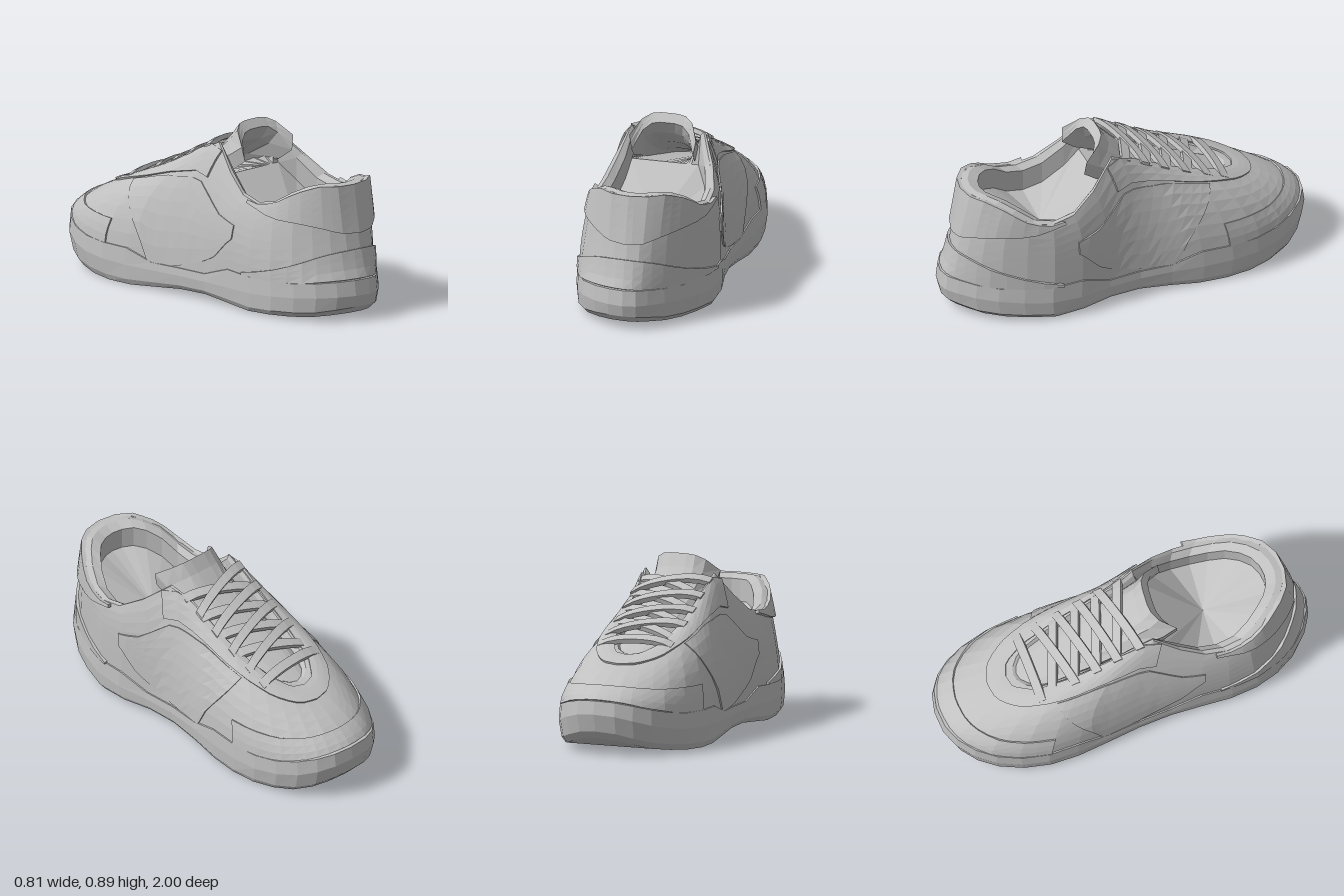
import * as THREE from 'three';

const N = 36;
const V = (x, y, z) => new THREE.Vector3(x, y, z);
const mix = (a, b, t) => a + (b - a) * t;

// Linear lookup in a short list of [position, value] pairs
function look(t, v) {
  if (v <= t[0][0]) return t[0][1];
  for (let i = 1; i < t.length; i++) {
    const [p, a] = t[i - 1], [q, b] = t[i];
    if (v <= q) return mix(a, b, (v - p) / (q - p));
  }
  return t[t.length - 1][1];
}

// Sole plan edges and heights by z
const soleR = [[-1, -.03], [-.99, .06], [-.95, .14], [-.9, .2], [-.8, .27], [-.65, .32], [-.45, .345], [-.1, .325],
  [.1, .335], [.3, .385], [.45, .402], [.6, .375], [.8, .295], [.9, .22], [.96, .155], [.99, .12], [1, .06]];
const soleL = [[-1, -.03], [-.99, -.13], [-.95, -.21], [-.9, -.27], [-.8, -.34], [-.65, -.39], [-.5, -.41], [-.3, -.395],
  [-.1, -.36], [.1, -.33], [.3, -.32], [.5, -.315], [.65, -.295], [.8, -.24], [.9, -.165], [.96, -.08], [.99, -.01], [1, .06]];
const soleTop = [[-1, .29], [-.9, .25], [-.75, .215], [-.6, .2], [-.28, .2], [-.22, .15], [.24, .15], [.34, .205], [.5, .195], [.8, .2], [1, .22]];
const soleMid = [[-1, .22], [-.9, .17], [-.7, .125], [-.4, .11], [.1, .11], [.5, .11], [1, .14]];
const soleEdge = [[-1, .13], [-.95, .1], [-.85, .065], [-.7, .045], [-.4, .03], [.1, .065], [.5, .035], [.85, .05], [1, .08]];
const soleBase = [[-1, .09], [-.9, .04], [-.7, .012], [-.4, 0], [.1, .045], [.5, .01], [.85, .02], [1, .04]];

// Collar and throat edge by z
const rimR = [[-.62, -.03], [-.6, .04], [-.5, .1], [-.3, .15], [0, .19], [.12, .23], [.2, .28], [.3, .34], [.45, .372],
  [.6, .35], [.7, .305], [.8, .225], [.85, .15], [.865, .06]];
const rimL = [[-.62, -.03], [-.6, -.1], [-.5, -.16], [-.3, -.18], [0, -.175], [.12, -.17], [.2, -.195], [.3, -.23], [.45, -.25],
  [.6, -.23], [.7, -.185], [.8, -.1], [.85, -.03], [.865, .06]];
const rimY = [[-.62, .47], [-.4, .55], [-.2, .64], [0, .75], [.12, .805], [.2, .735], [.3, .63], [.4, .58], [.5, .565],
  [.6, .585], [.72, .66], [.8, .695], [.87, .69]];
// Fullness of the upper, from toe (-1) to heel (1)
const fullP = [[-1, 1.2], [-.7, 1.6], [0, 1.6], [.35, 3.2], [.6, 3], [.9, 1], [1, .8]];
const fullQ = [[-1, 1.2], [-.7, 1.4], [0, 1.12], [1, 1.05]];

const edgeX = (R, L, z, a) => {
  const s = Math.sin(a);
  if (Math.abs(s) < 1e-6) return (look(R, z) + look(L, z)) / 2;
  return s > 0 ? look(R, z) : look(L, z);
};
const ring = f => Array.from({ length: N }, (_, i) => f(i / N * Math.PI * 2));

// Sole outline at a given inset and height list
function solePoint(a, k, heights) {
  const z = Math.cos(a);
  return V(edgeX(soleR, soleL, z, a) * k, look(heights, z), z * k);
}
function rimPoint(a) {
  const z = .1225 + .7425 * Math.cos(a);
  return V(edgeX(rimR, rimL, z, a), look(rimY, z), z);
}
// Upper surface: a runs round the shoe from the heel, s rises from sole to rim
function upper(a, s) {
  const c = Math.cos(a), p = solePoint(a, .97, soleTop), r = rimPoint(a);
  const lean = c > 0 ? 1 + .4 * Math.sin(2 * a) : 1;
  const g = Math.pow(s, look(fullP, c) * lean), h = 1 - Math.pow(1 - s, look(fullQ, c));
  return V(mix(p.x, r.x, g), mix(p.y, r.y, h), mix(p.z, r.z, g));
}
function raised(a, s, off) {
  const e = .03, s0 = Math.max(s - e, 0), s1 = Math.min(s + e, 1);
  const da = upper(a + e, s).sub(upper(a - e, s));
  const n = da.cross(upper(a, s1).sub(upper(a, s0))).normalize();
  return upper(a, s).addScaledVector(n, off);
}

// Faceted skin over rows of points
function skin(rows, closed) {
  const n = rows[0].length, pos = [], idx = [];
  rows.forEach(r => r.forEach(p => pos.push(p.x, p.y, p.z)));
  for (let j = 0; j < rows.length - 1; j++) {
    for (let i = 0; i < (closed ? n : n - 1); i++) {
      const k = (i + 1) % n, a = j * n + i, b = j * n + k, d = a + n, c = b + n;
      idx.push(a, b, c, a, c, d);
    }
  }
  const g = new THREE.BufferGeometry();
  g.setAttribute('position', new THREE.Float32BufferAttribute(pos, 3));
  g.setIndex(idx);
  const flat = g.toNonIndexed();
  flat.computeVertexNormals();
  return flat;
}
// Closed bar with flat end caps
function bar(sections) {
  const cap = r => r.map((p, i) => p.clone().lerp(r[r.length - 1 - i], .5));
  return skin([cap(sections[0]), ...sections, cap(sections[sections.length - 1])], true);
}
// Raised panel with turned-in borders
function panel(angle, lo, hi, off = .012, nu = 14, nv = 5) {
  const rows = [];
  for (let j = -1; j <= nv + 1; j++) {
    const row = [];
    for (let i = -1; i <= nu + 1; i++) {
      const t = Math.min(Math.max(i / nu, 0), 1), v = Math.min(Math.max(j / nv, 0), 1);
      const border = i < 0 || j < 0 || i > nu || j > nv;
      row.push(raised(angle(t, v), mix(lo(t), hi(t), v), border ? -.006 : off));
    }
    rows.push(row);
  }
  return skin(rows, false);
}

export function createModel() {
  const shoe = new THREE.Group();
  shoe.name = 'shoe';
  const grey = new THREE.MeshStandardMaterial({ color: 0xc0c0c0, side: THREE.DoubleSide });
  grey.name = 'light grey';
  const add = (name, geo) => {
    const m = new THREE.Mesh(geo, grey);
    m.name = name;
    shoe.add(m);
  };

  // Sole: flat underside, bevel, bowed wall and top ledge
  const base = ring(a => solePoint(a, .94, soleBase));
  const spine = base.map((p, i) => V((p.x + base[(N - i) % N].x) / 2, p.y, p.z));
  add('sole', skin([spine, base, ring(a => solePoint(a, Math.cos(a) < -.5 ? .975 : .985, soleEdge)),
    ring(a => solePoint(a, 1, soleMid)), ring(a => solePoint(a, .99, soleTop)), ring(a => solePoint(a, .95, soleTop))], true));

  // Upper shell
  const rows = [];
  for (let j = 0; j <= 8; j++) rows.push(ring(a => upper(a, j / 8)));
  add('upper', skin(rows, true));

  // Padded rim, lining wall and dished footbed
  const inner = (a, drop) => {
    const r = rimPoint(a), heel = r.z > .15;
    return V(mix(r.x, heel ? .05 : 0, heel ? .19 : .12), r.y - drop, .125 + (r.z - .125) * .88);
  };
  const mid = a => rimPoint(a).lerp(inner(a, .015), .4).add(V(0, .012, 0));
  const wall = a => {
    const p = inner(a, .13);
    return p.z < .16 ? V(p.x, .64, .16) : p;
  };
  add('lining', skin([ring(rimPoint), ring(mid), ring(a => inner(a, .015)), ring(wall), ring(() => V(.06, .4, .45))], true));

  // Stitched panels
  const arch = t => Math.pow(Math.abs(2 * t - 1), 2);
  const PI = Math.PI;
  const around = (mid, half) => t => mid + (2 * t - 1) * half;
  add('collarPad', panel(around(0, 1.14), t => Math.min(.95, .46 + .56 * arch(t)), () => 1, .018, 22));
  add('heelCounter', panel(around(0, 1.1), () => 0, t => mix(.3, .03, arch(t)), .012, 18, 3));
  add('toeBumper', panel(around(PI, 1.05), () => 0, t => mix(.3, .24, arch(t)), .008, 20, 3));
  add('eyestay', panel(around(PI, 1.62), t => mix(.76, .74, arch(t)), () => 1, .01, 30, 3));
  for (const s of [1, -1]) {
    const back = t => s > 0 ? 1 - t : t;
    add(s > 0 ? 'leftSidePanel' : 'rightSidePanel',
      panel((t, v) => s * mix(1.78 + .42 * v, 1.2, back(t)), t => .4 * Math.pow(back(t), 3),
        t => mix(.73, .58, Math.pow(back(t), 2)), .006, 14, 6));
  }

  // Tongue: arched sections as [z, y, half width, edge drop, depth back, depth down, edge sweep]
  const path = [[-.6, .455, .09, .02, 0, .02, 0], [-.4, .54, .13, .03, .01, .025, 0], [-.2, .625, .145, .04, .015, .03, 0],
    [0, .735, .155, .06, .02, .035, .02], [.09, .83, .175, .08, .04, .045, .09], [.135, .895, .178, .095, .035, .042, .12]];
  add('tongue', bar(path.map(([z, y, w, drop, dz, dy, sweep], k) => {
    const outer = [], under = [], cx = mix(-.02, .042, k / 5);
    for (let i = 0; i <= 8; i++) {
      const v = 1 - i / 4, e = Math.pow(Math.abs(v), 4);
      const p = V(cx + v * w, y - drop * e, z + sweep * e);
      outer.push(p);
      under.unshift(V(cx + v * w * .92, p.y - dy * (1 + .8 * e), p.z + dz * (1 - .8 * e)));
    }
    return [...outer, ...under];
  })));

  // Laces: flat straps arched over the tongue
  const lace = (z0, z1, lift) => {
    const sections = [];
    for (let i = 0; i <= 8; i++) {
      const v = i / 4 - 1, z = mix(z0, z1, i / 8), slope = .48;
      const x = mix(-.03, .015, (z + .5) / .55) + v * .2;
      const y = look(rimY, z) + lift + .022 * (1 - v * v) - .015 * Math.pow(v, 4);
      const at = (dz, dy) => V(x, y + dz * slope + dy, z + dz - dy * .4);
      sections.push([at(-.022, .01), at(.022, .01), at(.022, -.014), at(-.022, -.014)]);
    }
    return bar(sections);
  };
  add('frontLace', lace(-.485, -.515, .01));
  const rowsZ = [-.43, -.31, -.19, -.08, .04];
  for (let i = 0; i < rowsZ.length - 1; i++) {
    add('laceLeftward', lace(rowsZ[i], rowsZ[i + 1], .003));
    add('laceRightward', lace(rowsZ[i + 1] + .01, rowsZ[i] + .01, .015));
  }
  return shoe;
}
